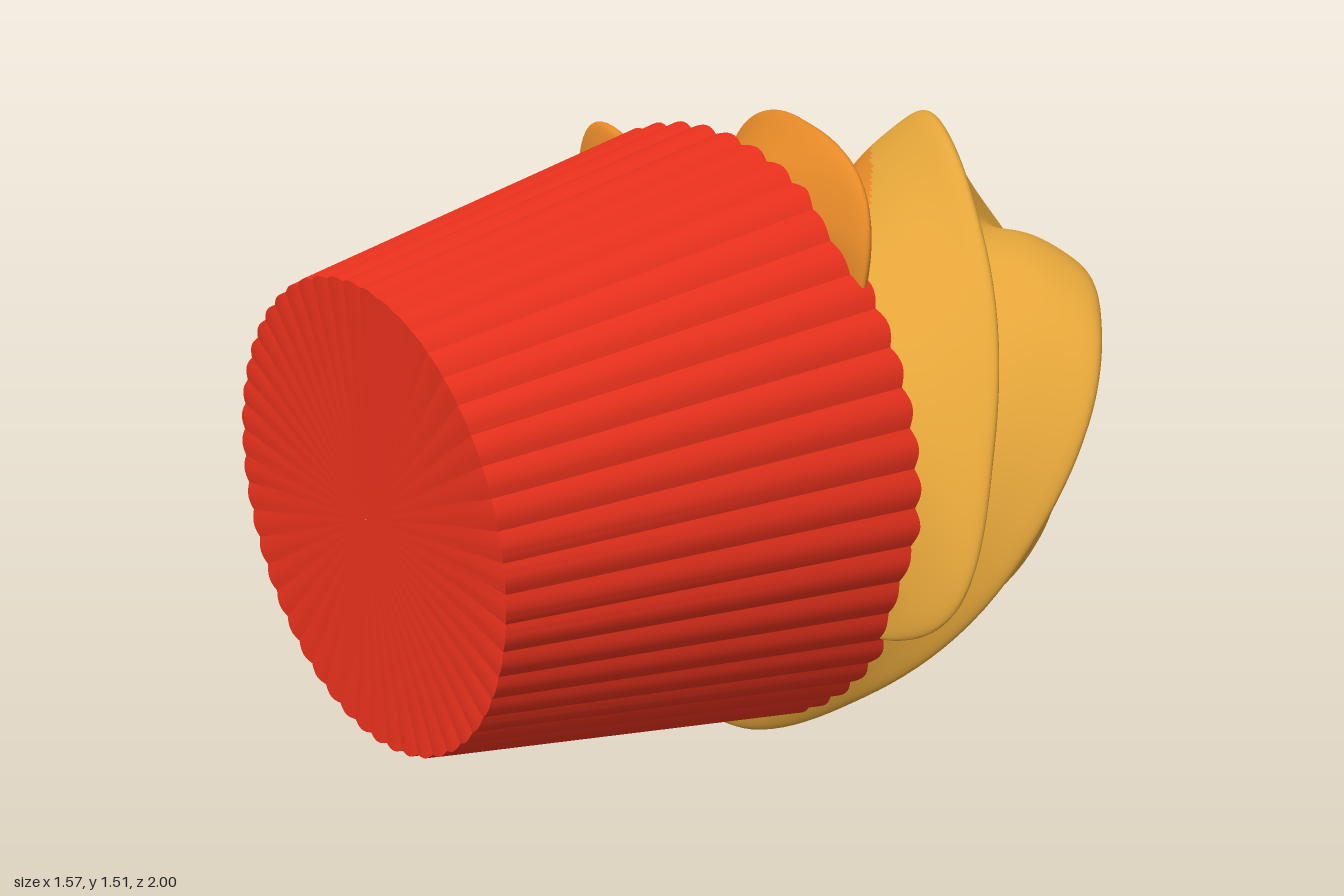
import * as THREE from 'three';
import { toCreasedNormals } from 'three/addons/utils/BufferGeometryUtils.js';

const TAU = Math.PI * 2;
const DEG = Math.PI / 180;

// Skin rings of points running from +z to -z; side(i, j) picks the material of each cell.
function loft(rings, sides, point, side = () => 0) {
  const pos = [];
  const lists = [[], []];
  for (let i = 0; i < rings; i++)
    for (let j = 0; j < sides; j++) pos.push(...point(i, j));
  for (let i = 0; i < rings - 1; i++)
    for (let j = 0; j < sides; j++) {
      const k = (j + 1) % sides;
      const a = i * sides + j, b = i * sides + k;
      const c = a + sides, d = b + sides;
      lists[side(i, j)].push(a, c, b, b, c, d);
    }
  const geo = new THREE.BufferGeometry();
  geo.setAttribute('position', new THREE.Float32BufferAttribute(pos, 3));
  geo.setIndex([...lists[0], ...lists[1]]);
  geo.addGroup(0, lists[0].length, 0);
  geo.addGroup(lists[0].length, lists[1].length, 1);
  geo.computeVertexNormals();
  return geo;
}

// Piecewise-linear lookup in a table of [z, value] with z falling
function lookup(table, z) {
  let n = 0;
  while (n < table.length - 2 && z < table[n + 1][0]) n++;
  const [z0, v0] = table[n], [z1, v1] = table[n + 1];
  return THREE.MathUtils.mapLinear(z, z0, z1, v0, v1);
}

// Pleated paper cup, closed at both ends
function wrapperGeometry() {
  const pleats = 50, per = 8;
  // z, radius, pleat depth in radius, pleat depth in z
  const rings = [
    [0.996, 0.001, 0, 0], [0.996, 0.4, 0, 0.002], [1, 0.522, 0.007, 0.004],
    [0.06, 0.715, 0.011, -0.008], [0.075, 0.45, 0, -0.012], [0.075, 0.001, 0, 0],
  ];
  const geo = loft(rings.length, pleats * per, (i, j) => {
    const [z, r, dr, dz] = rings[i];
    const dip = 1 - Math.sin(Math.PI * (j % per) / per);
    const a = j / (pleats * per) * TAU;
    const rad = r - dr * dip;
    return [rad * Math.cos(a), rad * Math.sin(a), z - dz * dip];
  });
  geo.clearGroups();
  return toCreasedNormals(geo, 17 * DEG);
}

// Five-lobed swirl whose twist fades out towards a leaning tip
function frostingGeometry() {
  const sides = 300;
  // z, ridge radius, groove radius
  const profile = new THREE.CatmullRomCurve3([
    [0.065, 0, 0], [0.085, 0.6, 0.42], [0.08, 0.75, 0.48], [0.035, 0.815, 0.51],
    [-0.1, 0.745, 0.51], [-0.3, 0.69, 0.48], [-0.5, 0.665, 0.44], [-0.63, 0.585, 0.38],
    [-0.73, 0.48, 0.31], [-0.82, 0.345, 0.23], [-0.91, 0.2, 0.135], [-0.975, 0.085, 0.06],
    [-1, 0.035, 0.03], [-1, 0, 0],
  ].map(p => new THREE.Vector3(...p))).getPoints(150);

  const twist = new THREE.CatmullRomCurve3([
    [0.1, -10], [0.05, 0], [-0.2, 46], [-0.36, 76], [-0.5, 98], [-0.62, 111], [-0.76, 120], [-1.01, 125],
  ].map(([z, a]) => new THREE.Vector3(z, a / 200, 0))).getPoints(80).map(p => [p.x, p.y * 200]);
  const angle = (z, j) => (lookup(twist, z) - 90) * DEG + j / sides * TAU;

  // Orange patch lies between two angles that vary along the swirl
  const upper = [[0.1, 192], [-0.05, 204], [-0.12, 214], [-0.58, 182], [-0.84, 152]];
  const isOrange = (i, j) => {
    const z = (profile[i].x + profile[i + 1].x) / 2;
    const a = THREE.MathUtils.euclideanModulo(angle(z, j + 0.5) / DEG, 360);
    return z > -0.84 && a > 43 - 114 * z && a < lookup(upper, z) ? 1 : 0;
  };

  return loft(profile.length, sides, (i, j) => {
    const { x: z, y: ridge, z: groove } = profile[i];
    // Narrow ridges between scooped grooves, steeper on the trailing side
    const p = 5 * j / sides * TAU;
    const s = Math.sin((p + 0.4 * (Math.cos(p) - 1)) / 2);
    const soft = 0.25;
    const lobe = (Math.hypot(1, soft) - Math.hypot(s, soft)) / (Math.hypot(1, soft) - soft);
    const r = Math.max(0.0005, groove + (ridge - groove) * lobe);
    const a = angle(z, j);
    const t = (0.09 - z) / 1.09;
    return [0.04 * Math.sqrt(t) + r * Math.cos(a), 0.785 + 0.145 * t * t + 0.97 * r * Math.sin(a), z];
  }, isOrange);
}

export function createModel() {
  const mat = (name, color) => {
    const m = new THREE.MeshStandardMaterial({ color });
    m.name = name;
    return m;
  };
  const red = mat('red paper', 0xe6301c);
  const yellow = mat('caramel yellow', 0xe4a53a);
  const orange = mat('orange', 0xe68a28);

  const group = new THREE.Group();
  group.name = 'cupcake';

  const wrapper = new THREE.Mesh(wrapperGeometry(), red);
  wrapper.name = 'wrapper';
  wrapper.position.set(-0.02, 0.774, 0);

  const frosting = new THREE.Mesh(frostingGeometry(), [yellow, orange]);
  frosting.name = 'frosting';

  group.add(wrapper, frosting);
  return group;
}
